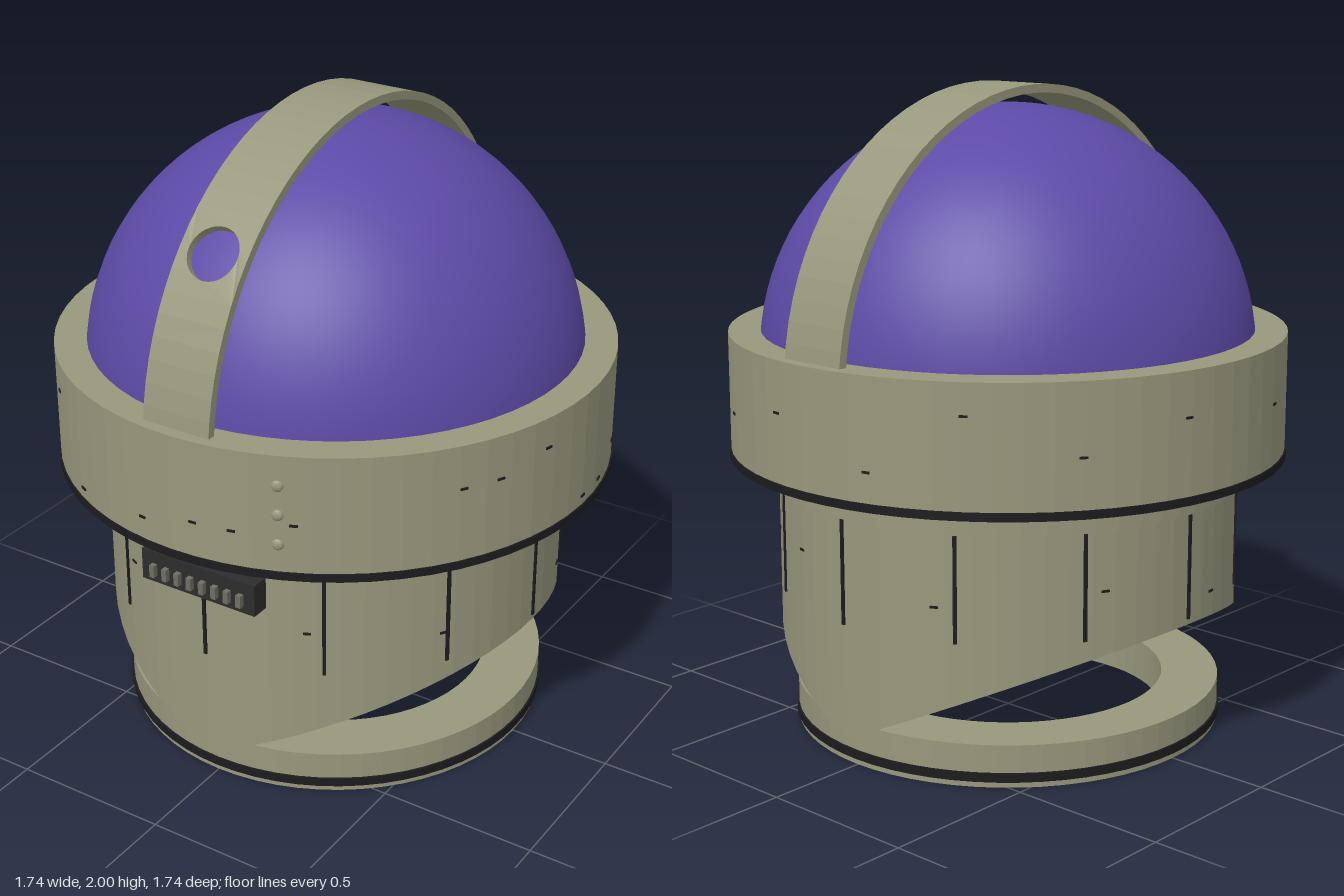
import * as THREE from 'three';

const SEG = 64;
const CENTER_Y = 1.17;   // centre of dome and strap
const STRAP_R = 0.83, STRAP_T = 0.026, STRAP_W = 0.226;

function material(name, color, flatShading = true) {
  const m = new THREE.MeshStandardMaterial({ color, flatShading });
  m.name = name;
  return m;
}

// Hollow ring with a rectangular section
function ringGeometry(inner, outer, y0, y1) {
  const pts = [[inner, y0], [outer, y0], [outer, y1], [inner, y1], [inner, y0]];
  return new THREE.LatheGeometry(pts.map(([x, y]) => new THREE.Vector2(x, y)), SEG);
}

// Wraps a flat slab (y = arc length, z = depth) over the dome from front to back
function bendOverDome(geometry) {
  const p = geometry.attributes.position;
  for (let i = 0; i < p.count; i++) {
    const a = p.getY(i) / STRAP_R;
    const r = STRAP_R - STRAP_T + p.getZ(i);
    p.setXYZ(i, p.getX(i), CENTER_Y + r * Math.sin(a), r * Math.cos(a));
  }
  geometry.computeVertexNormals();
  return geometry;
}

export function createModel() {
  const model = new THREE.Group();
  model.name = 'domedCanister';

  const olive = material('olive metal', 0x98987d);
  const black = material('black trim', 0x1c1c1e);
  const panelDark = material('dark panel', 0x2c2c2c);
  const slatGrey = material('slat grey', 0x6e6e62);
  const purple = material('purple dome', 0x5c4aa6, false);

  function add(name, geometry, mat, parent = model) {
    const mesh = new THREE.Mesh(geometry, mat);
    mesh.name = name;
    parent.add(mesh);
    return mesh;
  }
  function group(name) {
    const g = new THREE.Group();
    g.name = name;
    model.add(g);
    return g;
  }
  // Places a mesh on a cylinder wall, facing outwards
  function onWall(mesh, angle, radius, y) {
    mesh.position.set(radius * Math.sin(angle), y, radius * Math.cos(angle));
    mesh.rotation.y = angle;
  }

  // Dome ball
  add('dome', new THREE.SphereGeometry(0.77, 64, 48), purple).position.y = CENTER_Y;

  // Collar and neck
  add('collar', ringGeometry(0.765, 0.865, 0.885, 1.255), olive);
  add('collarTrim', ringGeometry(0.765, 0.87, 0.865, 0.89), black);
  add('neck', ringGeometry(0.65, 0.74, 0.785, 0.95), olive);

  // Lower shell, its bottom edge cut to a point at front and back
  const shell = ringGeometry(0.655, 0.72, 0, 0.79);
  const p = shell.attributes.position;
  for (let i = 0; i < p.count; i++) {
    if (p.getY(i) < 0.1) p.setY(i, 0.095 + 0.475 * Math.abs(p.getX(i)));
  }
  shell.computeVertexNormals();
  add('lowerShell', shell, olive);

  // Base ring
  add('baseRing', ringGeometry(0.495, 0.674, 0, 0.132), olive);
  add('baseTrim', ringGeometry(0.66, 0.68, 0.018, 0.046), black);

  // Strap: two plain lengths and a patch with a round hole
  const strap = group('strap');
  const deg = Math.PI / 180;
  for (const [from, to] of [[0, 32], [50, 180]]) {
    const length = (to - from) * deg * STRAP_R;
    const slab = new THREE.BoxGeometry(STRAP_W, length, STRAP_T, 1, Math.round((to - from) / 4.5), 1);
    slab.translate(0, (from + to) / 2 * deg * STRAP_R, STRAP_T / 2);
    add('strapLength', bendOverDome(slab), olive, strap);
  }
  const s0 = 32 * deg * STRAP_R, s1 = 50 * deg * STRAP_R, half = STRAP_W / 2;
  const outline = [];
  for (let i = 0; i <= 4; i++) outline.push(new THREE.Vector2(half, s0 + (s1 - s0) * i / 4));
  for (let i = 4; i >= 0; i--) outline.push(new THREE.Vector2(-half, s0 + (s1 - s0) * i / 4));
  const patch = new THREE.Shape(outline);
  patch.holes.push(new THREE.Path().absarc(0, (s0 + s1) / 2, 0.082, 0, Math.PI * 2, true));
  add('strapHolePatch', bendOverDome(new THREE.ExtrudeGeometry(patch,
    { depth: STRAP_T, bevelEnabled: false, curveSegments: 28 })), olive, strap);

  // Vertical grooves round the shell
  const grooves = group('grooves');
  for (let i = 0; i < 12; i++) {
    const g = add('groove', new THREE.BoxGeometry(0.011, 0.322, 0.012), black, grooves);
    onWall(g, i * Math.PI / 6, 0.719, 0.616);
  }

  // Front vent panel with slats
  const vent = group('vent');
  add('ventPanel', new THREE.BoxGeometry(0.405, 0.102, 0.06), panelDark, vent)
    .position.set(0, 0.72, 0.72);
  for (let i = 0; i < 8; i++) {
    add('ventSlat', new THREE.BoxGeometry(0.017, 0.04, 0.025), slatGrey, vent)
      .position.set((i - 3.5) * 0.0445, 0.712, 0.755);
  }

  // Rivets on the collar
  const rivets = group('rivets');
  for (const y of [0.977, 1.07, 1.162]) {
    const r = add('rivet', new THREE.SphereGeometry(0.018, 12, 8), olive, rivets);
    onWall(r, 0.384, 0.864, y);
    r.scale.z = 0.6;
  }

  // Small scratches: [degrees round from the front, height]
  const scratches = group('scratches');
  const collarMarks = [[-40, 1.16], [-7, 0.96], [5, 1], [13, 1], [-27, 0.925], [25, 1.04],
    [57, 1.12], [65, 1.12], [-72, 1.08], [77, 1.16], [90, 0.92], [98, 0.92], [110, 0.96],
    [136, 1.12], [150, 1.03], [172, 1.1], [195, 0.98], [214, 1.16], [236, 1.04], [258, 1.12]];
  const shellMarks = [[-26, 0.635], [26, 0.595], [-80, 0.51], [59, 0.555], [109, 0.51],
    [142, 0.635], [163, 0.635], [205, 0.56], [245, 0.6]];
  for (const [marks, radius] of [[collarMarks, 0.864], [shellMarks, 0.719]]) {
    for (const [a, y] of marks) {
      const s = add('scratch', new THREE.BoxGeometry(0.024, 0.007, 0.008), black, scratches);
      onWall(s, a * deg, radius, y);
    }
  }

  return model;
}
